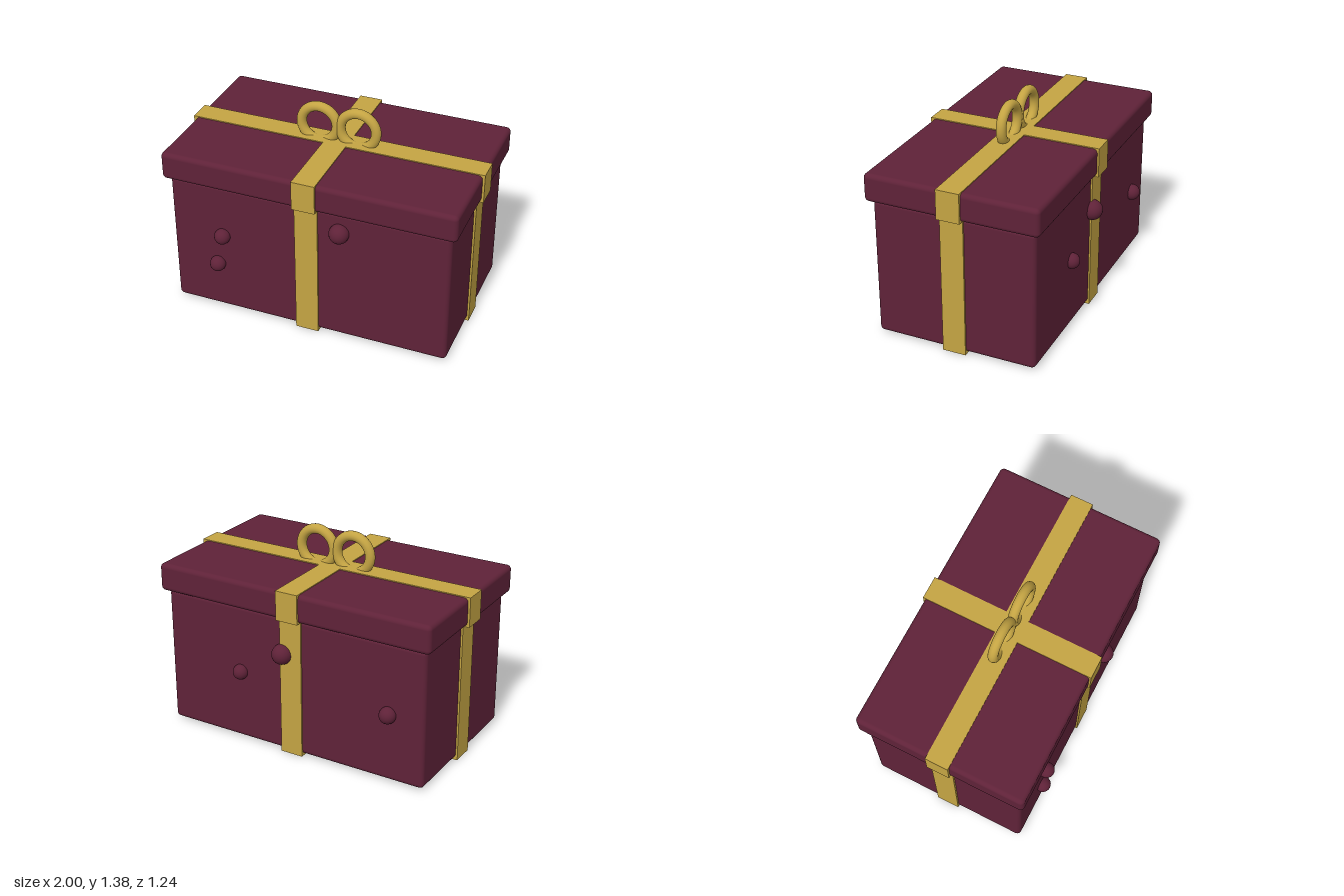
import * as THREE from 'three';
import { RoundedBoxGeometry } from 'three/addons/geometries/RoundedBoxGeometry.js';

export function createModel() {
  const group = new THREE.Group();
  const wrap = new THREE.MeshStandardMaterial({ color: 0x5f2238 });
  wrap.name = 'burgundy wrap';
  const gold = new THREE.MeshStandardMaterial({ color: 0xc4a443 });
  gold.name = 'gold ribbon';

  const add = (name, geometry, material, x = 0, y = 0, z = 0) => {
    const mesh = new THREE.Mesh(geometry, material);
    mesh.name = name;
    mesh.position.set(x, y, z);
    group.add(mesh);
    return mesh;
  };
  // Centred block spanning y0 to y1
  const rounded = (name, w, d, y0, y1) =>
    add(name, new RoundedBoxGeometry(w, y1 - y0, d, 4, 0.03), wrap, 0, (y0 + y1) / 2, 0);
  const band = (name, w, d, y0, y1) =>
    add(name, new THREE.BoxGeometry(w, y1 - y0, d), gold, 0, (y0 + y1) / 2, 0);

  // Box and its overhanging lid
  rounded('boxBody', 1.89, 1.084, 0.014, 0.952);
  rounded('lid', 1.97, 1.16, 0.948, 1.136);

  // Crossed ribbons around box and lid
  const ribbon = 0.156;
  band('bodyRibbonAcross', 1.916, ribbon, 0, 0.946);
  band('bodyRibbonFrontBack', ribbon, 1.106, 0, 0.946);
  band('lidRibbonAcross', 2, ribbon, 0.944, 1.142);
  band('lidRibbonFrontBack', ribbon, 1.184, 0.944, 1.142);

  // Two bow loops, partly sunk into the lid
  for (const side of [-1, 1]) {
    add(side > 0 ? 'bowLoopLeft' : 'bowLoopRight',
      new THREE.TorusGeometry(0.122, 0.033, 16, 40), gold, side * 0.134, 1.23, 0);
  }

  // Round studs on front and back: x, y, z, radius
  const studs = [
    [0.225, 0.815, 0.555, 0.065],
    [-0.587, 0.585, 0.555, 0.053],
    [-0.63, 0.36, 0.555, 0.053],
    [0.062, 0.7, -0.553, 0.067],
    [0.387, 0.493, -0.55, 0.051],
    [-0.7, 0.475, -0.553, 0.055],
  ];
  studs.forEach(([x, y, z, r], i) =>
    add('stud' + (i + 1), new THREE.SphereGeometry(r, 24, 16), wrap, x, y, z));

  return group;
}
